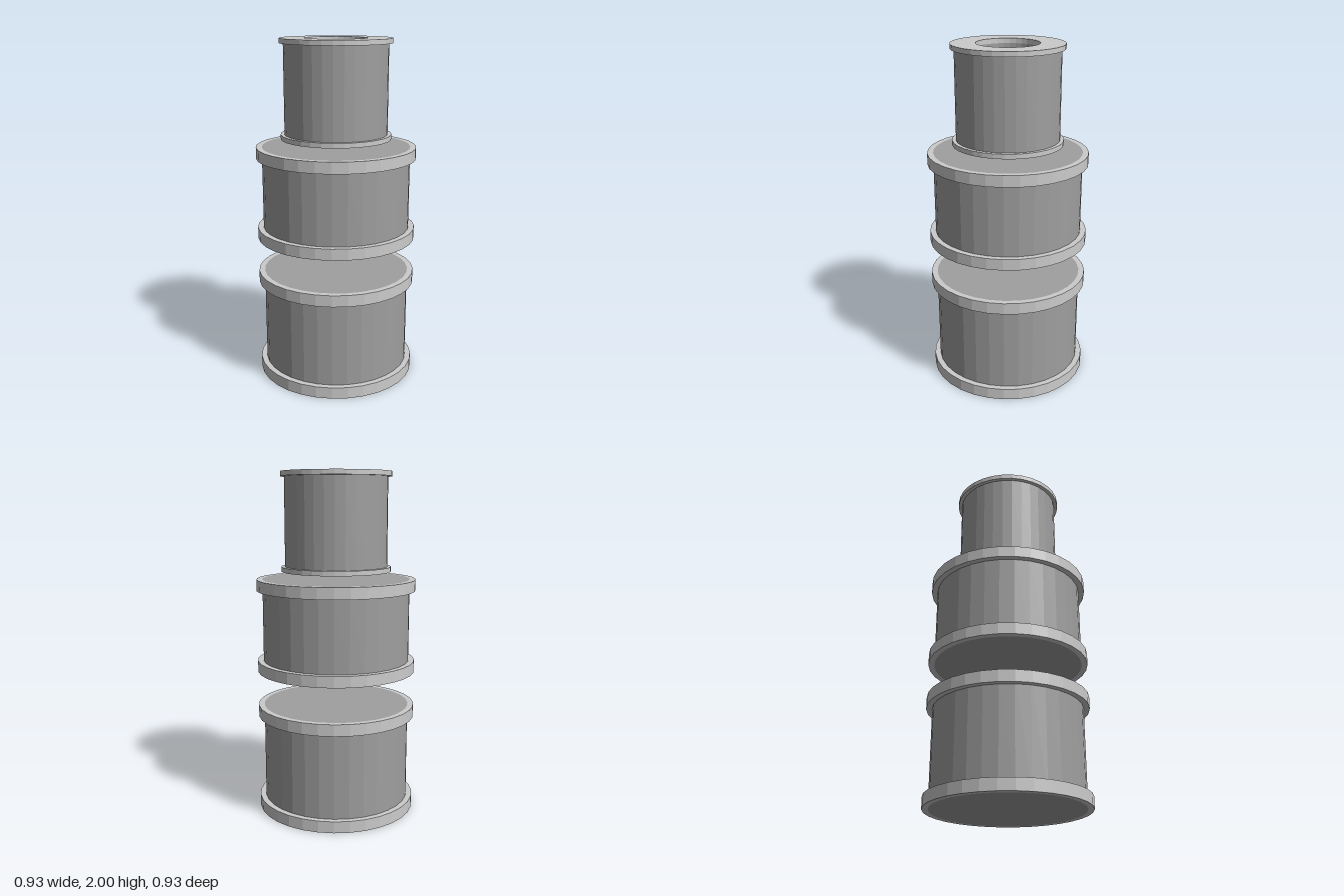
import * as THREE from 'three';

const SIDES = 32;
const light = new THREE.MeshStandardMaterial({ color: 0xcccccc, flatShading: true });
const dark = new THREE.MeshStandardMaterial({ color: 0x9f9f9f, flatShading: true });

// Ring with a rectangular section, or a solid drum when the inner radius is 0
function ring(name, inner, outer, y0, y1, material) {
  const profile = [[inner, y0], [outer, y0], [outer, y1], [inner, y1]];
  if (inner > 0) profile.push([inner, y0]);
  const points = profile.map(([r, y]) => new THREE.Vector2(r, y));
  const mesh = new THREE.Mesh(new THREE.LatheGeometry(points, SIDES), material);
  mesh.name = name;
  return mesh;
}

// Solid drum with a flush band around each end
function drum(name, y0, y1, band) {
  const group = new THREE.Group();
  group.name = name;
  group.add(
    ring('drumBody', 0, 0.433, y0, y1, dark),
    ring('lowerBand', 0.433, 0.467, y0, y0 + band, light),
    ring('upperBand', 0.433, 0.467, y1 - band, y1, light)
  );
  return group;
}

export function createModel() {
  const model = new THREE.Group();
  model.name = 'segmentedColumn';

  // Two wide drums
  model.add(drum('lowerDrum', 0, 0.635, 0.068));
  model.add(drum('middleDrum', 0.84, 1.386, 0.066));

  // Narrow hollow neck: closed base, tube and open rim
  const neck = new THREE.Group();
  neck.name = 'neck';
  neck.add(
    ring('neckBase', 0, 0.322, 1.43, 1.458, light),
    ring('neckTube', 0.18, 0.3, 1.458, 1.972, dark),
    ring('neckRim', 0.18, 0.322, 1.972, 2, light)
  );
  model.add(neck);
  return model;
}
